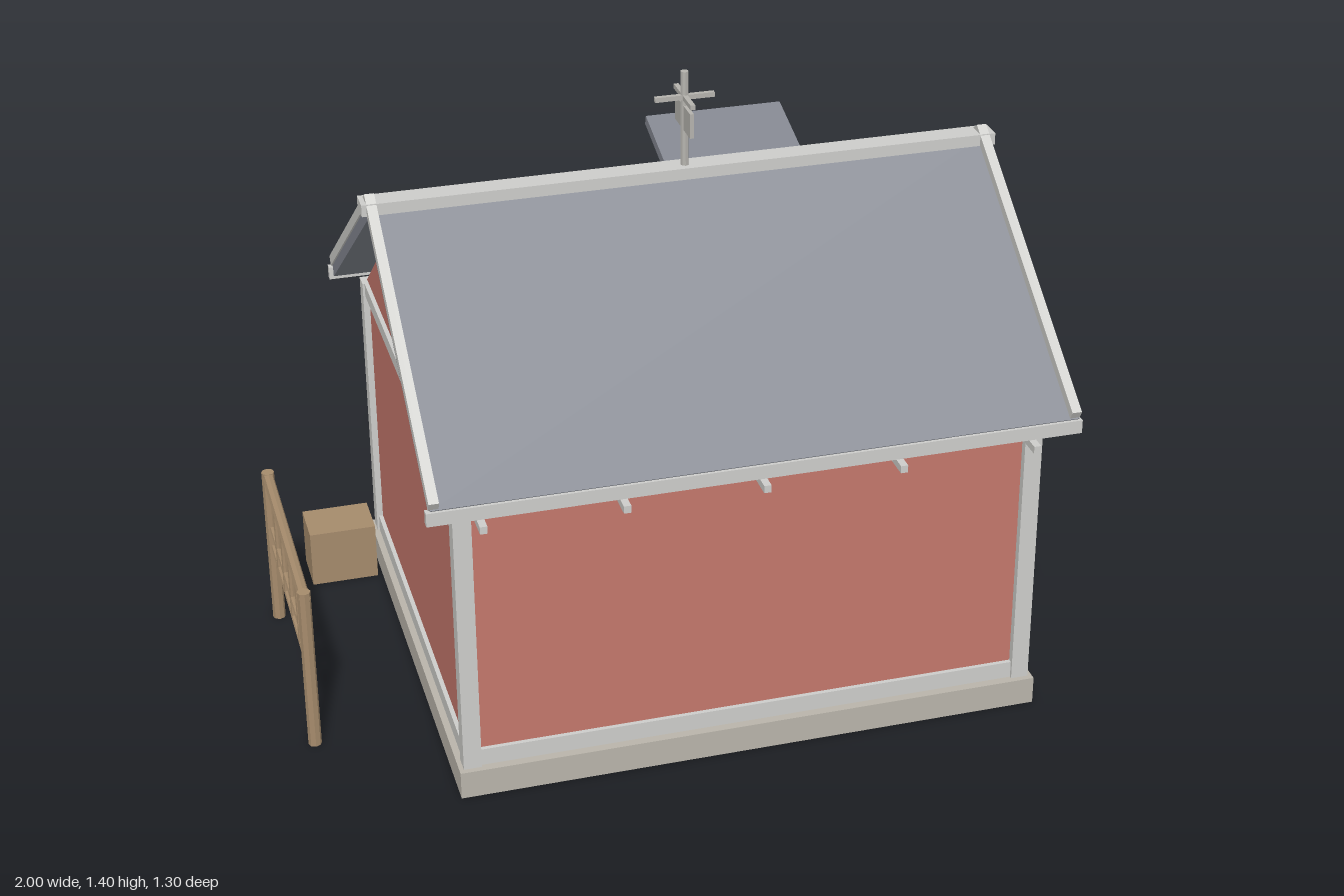
import * as THREE from 'three';

const mat = (name, color) => Object.assign(new THREE.MeshStandardMaterial({ color, flatShading: true }), { name });

export function createModel() {
  const root = new THREE.Group();
  root.name = 'cottage';
  const M = {
    wall: mat('red wall', 0xc3776c), roof: mat('slate roof', 0x82868f),
    trim: mat('pale trim', 0xcdcdca), stone: mat('foundation stone', 0xb9b4aa),
    wood: mat('wood', 0xa58b6c), glass: mat('window glass', 0xaec4cb),
    door: mat('door grey', 0xc2c2c1), metal: mat('metal', 0xb5b3ae),
  };
  const CX = -0.045, CZ = 0.015;

  const add = (name, geo, m, parent = root) => {
    const mesh = new THREE.Mesh(geo, m);
    mesh.name = name;
    parent.add(mesh);
    return mesh;
  };
  // box given by its extents on each axis
  const box = (name, m, [x0, x1], [y0, y1], [z0, z1], parent) => {
    const b = add(name, new THREE.BoxGeometry(x1 - x0, y1 - y0, z1 - z0), m, parent);
    b.position.set((x0 + x1) / 2, (y0 + y1) / 2, (z0 + z1) / 2);
    return b;
  };
  const about = (c, size) => [c - size / 2, c + size / 2];
  // (z, y) outline extruded along x
  const prism = (name, m, pts, x0, x1, parent) => {
    const shape = new THREE.Shape(pts.map(p => new THREE.Vector2(...p)));
    const g = new THREE.ExtrudeGeometry(shape, { depth: x1 - x0, bevelEnabled: false });
    g.rotateY(-Math.PI / 2).translate(x1, 0, 0);
    return add(name, g, m, parent);
  };
  const rod = (name, m, a, b, r, parent) => {
    const A = new THREE.Vector3(...a), B = new THREE.Vector3(...b);
    const mesh = add(name, new THREE.CylinderGeometry(r, r, A.distanceTo(B), 8), m, parent);
    mesh.position.copy(A).lerp(B, 0.5);
    mesh.quaternion.setFromUnitVectors(new THREE.Vector3(0, 1, 0), B.sub(A).normalize());
    return mesh;
  };

  // foundation, walls and gables
  box('foundation', M.stone, [-0.71, 0.62], [0, 0.065], [-0.545, 0.575]);
  box('walls', M.wall, [-0.685, 0.595], [0.065, 0.745], [-0.515, 0.545]);
  prism('gables', M.wall, [[CZ - 0.53, 0.745], [CZ + 0.53, 0.745], [CZ, 1.143]], -0.685, 0.595);

  // corner posts and horizontal wall bands
  for (const sx of [-1, 1]) for (const sz of [-1, 1])
    box('cornerPost', M.trim, about(CX + sx * 0.635, 0.04), [0.065, 0.745], about(CZ + sz * 0.527, 0.04));
  for (const [y0, y1] of [[0.065, 0.105], [0.712, 0.745]]) {
    for (const sx of [-1, 1]) box('sideBand', M.trim, about(CX + sx * 0.64, 0.02), [y0, y1], [-0.5, 0.53]);
    for (const sz of [-1, 1]) box('wallBand', M.trim, [-0.66, 0.57], [y0, y1], about(CZ + sz * 0.53, 0.02));
  }

  // roof slopes with rake boards, fascias and eave brackets
  const roof = new THREE.Group();
  roof.name = 'roof';
  root.add(roof);
  for (const s of [-1, 1]) {
    const side = pts => pts.map(([z, y]) => [CZ + s * z, y]);
    prism('roofSlope', M.roof, side([[0, 1.175], [0.61, 0.757], [0.594, 0.733], [0, 1.138]]), -0.755, 0.665, roof);
    for (const x of [-0.748, 0.655])
      prism('rakeBoard', M.trim, side([[0, 1.2], [0.618, 0.777], [0.606, 0.756], [0, 1.172]]), x - 0.011, x + 0.011, roof);
    box('fascia', M.trim, [-0.765, 0.67], [0.724, 0.755], about(CZ + s * 0.607, 0.018), roof);
    for (let i = -2; i <= 2; i++)
      box('eaveBracket', M.trim, about(CX + i * 0.303, 0.016), [0.7, 0.717], about(CZ + s * 0.595, 0.078), roof);
  }
  box('ridgeCap', M.trim, [-0.77, 0.68], [1.158, 1.185], about(CZ - 0.003, 0.055), roof);

  // weather vane
  const vane = new THREE.Group();
  vane.name = 'weatherVane';
  root.add(vane);
  rod('vanePole', M.metal, [CX, 1.17, CZ], [CX, 1.405, CZ], 0.009, vane);
  box('vaneArmX', M.metal, about(CX, 0.135), about(1.345, 0.011), about(CZ, 0.011), vane);
  box('vaneArmZ', M.metal, about(CX, 0.011), about(1.345, 0.011), about(CZ, 0.135), vane);
  box('vanePlate', M.metal, about(CX, 0.009), [1.27, 1.327], about(CZ, 0.12), vane);

  // dormer on the back slope
  const dormer = new THREE.Group();
  dormer.name = 'dormer';
  root.add(dormer);
  const dx = 0.145;
  box('dormerBody', M.wall, about(dx, 0.27), [0.845, 1.055], [-0.39, -0.2], dormer);
  const dRoof = box('dormerRoof', M.roof, about(dx, 0.33), about(1.083, 0.024), about(-0.295, 0.247), dormer);
  dRoof.rotation.x = 0.3;
  box('dormerGlass', M.glass, about(dx, 0.17), [0.93, 1.05], [-0.398, -0.389], dormer);
  for (const s of [-1, 1])
    box('dormerFrameSide', M.trim, about(dx + s * 0.09, 0.016), [0.925, 1.062], [-0.408, -0.385], dormer);
  for (const y of [0.932, 1.053])
    box('dormerFrameBar', M.trim, about(dx, 0.18), about(y, 0.015), [-0.404, -0.385], dormer);

  // windows: built facing +z from a wall at z = 0, then turned
  const makeWindow = (withBox, x, z, turn, reach) => {
    const w = new THREE.Group();
    w.name = 'window';
    box('windowGlass', M.glass, about(0, 0.2), [0.373, 0.587], [0, 0.009], w);
    box('windowCrossbar', M.trim, about(0, 0.39), about(0.483, 0.015), [0.004, 0.02], w);
    box('windowUpright', M.trim, about(0, 0.016), [0.37, 0.59], [reach, reach + 0.033], w);
    if (withBox) {
      box('windowHead', M.trim, about(0, 0.27), [0.598, 0.622], [0, 0.05], w);
      box('flowerBox', M.trim, about(0, 0.26), [0.308, 0.355], [0, 0.052], w);
      box('flowerBoxSoil', M.wood, about(0, 0.22), [0.355, 0.376], [0, 0.045], w);
    }
    w.position.set(x, 0, z);
    w.rotation.y = turn;
    root.add(w);
  };
  makeWindow(false, 0.595, 0.1, Math.PI / 2, 0.067);
  for (const s of [-1, 1]) makeWindow(true, CX + s * 0.385, -0.515, Math.PI, 0.083);

  // back door with panels, knob and canopy
  const door = new THREE.Group();
  door.name = 'door';
  root.add(door);
  box('doorLeaf', M.door, about(CX, 0.22), [0.065, 0.53], [-0.535, -0.51], door);
  for (const s of [-1, 1]) box('doorJamb', M.trim, about(CX + s * 0.118, 0.018), [0.065, 0.54], [-0.54, -0.51], door);
  for (const [y0, y1] of [[0.13, 0.26], [0.31, 0.45]])
    box('doorPanel', M.door, about(CX, 0.15), [y0, y1], [-0.543, -0.534], door);
  const knob = add('doorKnob', new THREE.SphereGeometry(0.01, 8, 6), M.metal, door);
  knob.position.set(CX + 0.088, 0.277, -0.55);
  const canopy = box('doorCanopy', M.roof, about(CX, 0.345), about(0.56, 0.018), about(-0.578, 0.14), door);
  canopy.rotation.x = 0.21;
  for (const s of [-1, 1])
    box('canopyBracket', M.trim, about(CX + s * 0.13, 0.02), [0.495, 0.55], [-0.585, -0.515], door);

  // crates
  box('sideCrate', M.wood, [0.652, 0.792], [0.063, 0.182], [-0.472, -0.33]);
  box('cornerCrate', M.wood, [-0.882, -0.722], [0, 0.14], [-0.505, -0.385]);

  // barrel with hoops
  const barrel = new THREE.Group();
  barrel.name = 'barrel';
  barrel.position.set(0.925, 0, -0.39);
  root.add(barrel);
  const staves = [[0, 0], [0.062, 0], [0.069, 0.05], [0.072, 0.1], [0.069, 0.172], [0, 0.172]];
  add('barrelBody', new THREE.LatheGeometry(staves.map(p => new THREE.Vector2(...p)), 12), M.wood, barrel);
  for (const y of [0.037, 0.143])
    add('barrelHoop', new THREE.CylinderGeometry(0.073, 0.073, 0.014, 12), M.metal, barrel).position.y = y;

  // rail fence
  const fence = new THREE.Group();
  fence.name = 'fence';
  root.add(fence);
  const fx = -0.983, z0 = -0.268, z1 = 0.28;
  for (const z of [z0, z1]) rod('fencePost', M.wood, [fx, 0, z], [fx, 0.398, z], 0.015, fence);
  rod('topRail', M.wood, [fx, 0.385, z0 - 0.01], [fx, 0.385, z1 + 0.01], 0.013, fence);
  for (const y of [0.2, 0.25]) rod('lowerRail', M.wood, [fx, y, z0], [fx, y, z1], 0.007, fence);
  for (let i = 1; i <= 4; i++) {
    const z = z0 + (z1 - z0) * i / 5;
    rod('baluster', M.wood, [fx, 0.2, z], [fx, 0.385, z], 0.007, fence);
  }
  return root;
}
